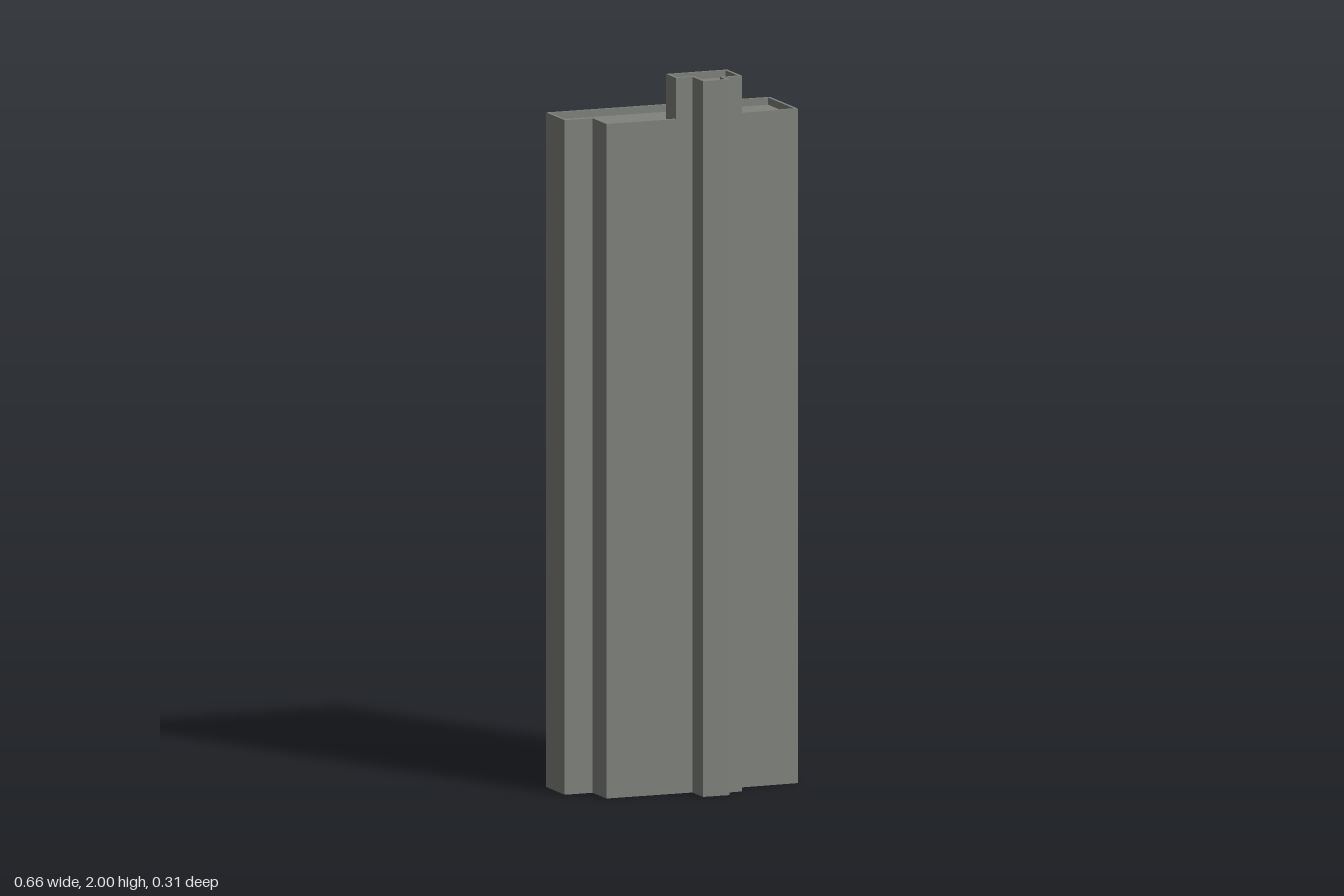
import * as THREE from 'three';

const PARAPET_WIDTH = 0.009;
const PARAPET_DEPTH = 0.02;

// Plans as [x, z], walked with the outside on the right-hand side
const slabPlan = [
  [0.139, 0.055], [0.332, 0.048], [0.332, -0.155], [0, -0.157], [-0.333, -0.157],
  [-0.333, -0.022], [-0.25, -0.022], [-0.25, 0.078], [-0.043, 0.078],
];
const towerPlan = [
  [-0.043, 0.078], [0.006, 0.078], [0.006, 0.155], [0.085, 0.155],
  [0.085, 0.117], [0.139, 0.113], [0.139, 0.005], [-0.043, 0.007],
];

// Mitred inset of a plan, open or closed
function inset(plan, width, closed) {
  const n = plan.length;
  const inward = (a, b) => {
    const dx = b[0] - a[0], dz = b[1] - a[1], l = Math.hypot(dx, dz);
    return [dz / l, -dx / l];
  };
  return plan.map((p, i) => {
    const hasPrev = closed || i > 0, hasNext = closed || i < n - 1;
    const next = hasNext && inward(p, plan[(i + 1) % n]);
    const prev = hasPrev ? inward(plan[(i + n - 1) % n], p) : next;
    const m = next || prev;
    const k = width / (1 + prev[0] * m[0] + prev[1] * m[1]);
    return [p[0] + (prev[0] + m[0]) * k, p[1] + (prev[1] + m[1]) * k];
  });
}

// Flat-shaded strip of quads between two level outlines
function strip(planA, yA, planB, yB, closed) {
  const pos = [];
  const n = planA.length;
  for (let i = 0; i < (closed ? n : n - 1); i++) {
    const j = (i + 1) % n;
    const a = [planA[i][0], yA, planA[i][1]], b = [planA[j][0], yA, planA[j][1]];
    const c = [planB[j][0], yB, planB[j][1]], d = [planB[i][0], yB, planB[i][1]];
    pos.push(...a, ...b, ...c, ...a, ...c, ...d);
  }
  const g = new THREE.BufferGeometry();
  g.setAttribute('position', new THREE.Float32BufferAttribute(pos, 3));
  g.computeVertexNormals();
  return g;
}

// Hollow volume with outer walls, a parapet and a sunken roof, open underneath
function block(name, plan, height, closed, roofNotch, material) {
  const group = new THREE.Group();
  group.name = name;
  const inner = inset(plan, PARAPET_WIDTH, closed);
  const roofY = height - PARAPET_DEPTH;
  const add = (part, geometry) => {
    const mesh = new THREE.Mesh(geometry, material);
    mesh.name = part;
    group.add(mesh);
  };
  add('outerWalls', strip(plan, 0, plan, height, closed));
  add('parapetTop', strip(plan, height, inner, height, closed));
  add('parapetInside', strip(inner, height, inner, roofY, closed));

  const outline = [...inner, ...roofNotch].map(([x, z]) => new THREE.Vector2(x, -z));
  const roof = new THREE.ShapeGeometry(new THREE.Shape(outline));
  roof.rotateX(-Math.PI / 2);
  roof.translate(0, roofY, 0);
  add('roof', roof);
  return group;
}

export function createModel() {
  const concrete = new THREE.MeshStandardMaterial({ color: 0x80827d, side: THREE.DoubleSide });
  concrete.name = 'concrete grey';

  const model = new THREE.Group();
  model.name = 'highRise';
  // The slab's roof is cut out around the tower that rises through it
  model.add(block('mainSlab', slabPlan, 1.885, false, [[-0.043, 0.007], [0.139, 0.005]], concrete));
  model.add(block('coreTower', towerPlan, 2, true, [], concrete));
  return model;
}
